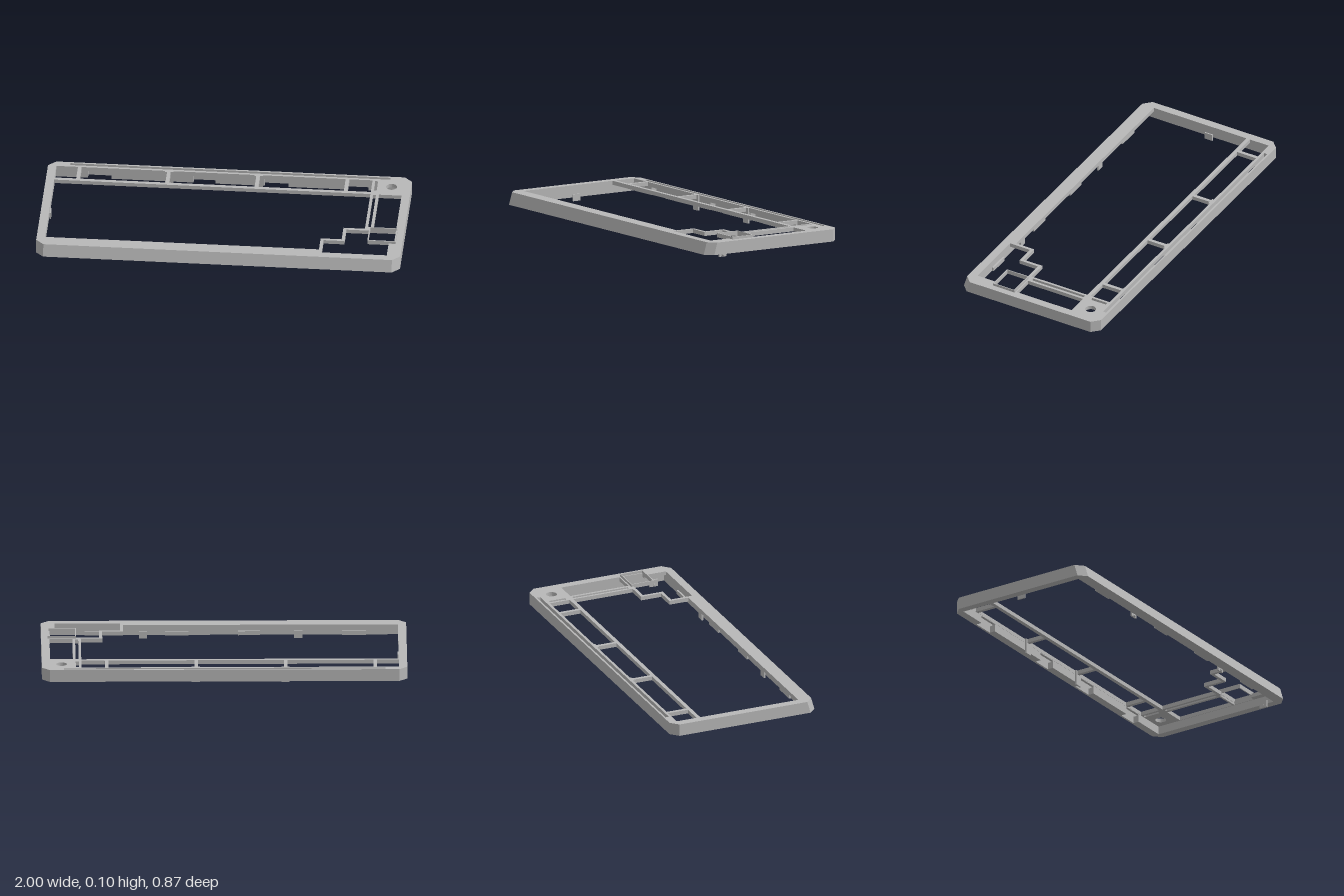
import * as THREE from 'three';

const BOTTOM = 0.022, TOP = 0.09;

export function createModel() {
  const model = new THREE.Group();
  const grey = new THREE.MeshStandardMaterial({ color: 0xb8b8b8 });
  grey.name = 'caseGrey';

  const add = (geometry, name) => {
    const mesh = new THREE.Mesh(geometry, grey);
    mesh.name = name;
    model.add(mesh);
    return mesh;
  };
  // Box given by its limits on each axis
  const box = (name, x0, x1, y0, y1, z0, z1) => {
    const g = new THREE.BoxGeometry(x1 - x0, y1 - y0, z1 - z0);
    return add(g.translate((x0 + x1) / 2, (y0 + y1) / 2, (z0 + z1) / 2), name);
  };
  const points = (list) => list.map(([x, z]) => new THREE.Vector2(x, -z));
  // Counter-clockwise rectangle, so outlines and holes all face outwards
  const rect = (x0, x1, z0, z1) => [[x0, z1], [x1, z1], [x1, z0], [x0, z0]];
  // Flat slab with holes, drawn in x and z
  const slab = (outline, holes, y0, y1) => {
    const shape = new THREE.Shape(points(outline));
    for (const h of holes) shape.holes.push(h instanceof THREE.Path ? h : new THREE.Path(points(h)));
    const g = new THREE.ExtrudeGeometry(shape, { depth: y1 - y0, bevelEnabled: false });
    return g.rotateX(-Math.PI / 2).translate(0, y0, 0);
  };

  // Outer wall with cut corners; the front leans back towards the top
  const outline = [[-0.957, 0.433], [0.957, 0.433], [1, 0.392], [1, -0.39],
    [0.957, -0.432], [-0.957, -0.432], [-1, -0.39], [-1, 0.392]];
  const wall = slab(outline, [rect(-0.957, 0.957, -0.421, 0.37)], BOTTOM, TOP);
  const p = wall.attributes.position;
  for (let i = 0; i < p.count; i++) {
    if (p.getZ(i) > 0.38) p.setZ(i, p.getZ(i) - 0.02 * (p.getY(i) - BOTTOM) / (TOP - BOTTOM));
  }
  wall.computeVertexNormals();
  add(wall, 'outerWall');

  // Top plate with its windows, dividers and stepped corner
  const bays = [[-0.954, -0.835], [-0.815, -0.345], [-0.325, 0.145], [0.165, 0.635], [0.655, 0.783]];
  const main = [[-0.954, 0.338], [0.55, 0.338], [0.55, 0.225], [0.665, 0.225], [0.665, 0.107],
    [0.783, 0.107], [0.783, -0.247], [-0.954, -0.247]];
  const corner = [[0.567, 0.367], [0.567, 0.242], [0.682, 0.242], [0.682, 0.125], [0.812, 0.125],
    [0.812, 0.113], [0.954, 0.113], [0.954, 0.241], [0.925, 0.241], [0.925, 0.367]];
  const round = new THREE.Path();
  round.absarc(0.892, 0.33, 0.03, 0, Math.PI * 2);
  add(slab(rect(-0.957, 0.957, -0.39, 0.37), [
    main, corner, round,
    ...bays.map(([a, b]) => rect(a, b, -0.387, -0.269)),
    rect(0.797, 0.814, -0.38, -0.285),
    rect(0.797, 0.814, -0.24, 0.09),
    rect(0.829, 0.954, -0.245, 0.102),
  ], 0.068, TOP), 'topPlate');

  // Back channel: inner wall with clip openings, floor pieces, closed ends
  const clips = [[-0.78, -0.65], [-0.2, -0.08], [0.19, 0.32], [0.64, 0.76]];
  let start = -0.88;
  for (const [a, b] of [...clips, [0.88, 0.88]]) {
    box('channelFloor', start, a, BOTTOM, 0.06, -0.421, -0.402);
    box('backInnerWall', start, a, BOTTOM, TOP, -0.402, -0.388);
    if (b > a) box('clipLintel', a, b, 0.065, TOP, -0.402, -0.388);
    start = b;
  }
  for (const s of [-1, 1]) {
    box('channelEnd', Math.min(s * 0.88, s * 0.957), Math.max(s * 0.88, s * 0.957), BOTTOM, TOP, -0.421, -0.388);
  }

  // Clip pads inside the front wall, opposite the clip openings
  for (const [a, b] of clips) box('frontClipPad', a, b, BOTTOM, 0.045, 0.36, 0.37);

  // Thin raised collar around the square opening
  box('collarFront', 0.808, 0.964, 0.08, 0.104, 0.241, 0.247);
  box('collarBack', 0.808, 0.964, 0.08, 0.104, 0.11, 0.115);
  box('collarLeft', 0.959, 0.964, 0.08, 0.104, 0.115, 0.241);
  box('collarRight', 0.808, 0.813, 0.08, 0.104, 0.115, 0.241);

  // Locating tabs under the rim, some with a round pin
  const pin = (x, z) => add(new THREE.SphereGeometry(0.009, 16, 10).translate(x, 0.012, z), 'tabPin');
  for (const x of [-0.41, 0.44]) {
    box('frontTab', x - 0.023, x + 0.023, 0.004, 0.045, 0.36, 0.37);
    pin(x, 0.369);
  }
  for (const x of [-0.333, 0.158]) {
    box('backTab', x - 0.023, x + 0.023, 0.004, TOP, -0.388, -0.378);
  }
  box('rightSideTab', -0.957, -0.949, 0.002, 0.04, -0.033, 0.016);
  box('leftSideTab', 0.949, 0.957, 0, 0.04, 0.282, 0.33);
  pin(0.956, 0.307);

  return model;
}
